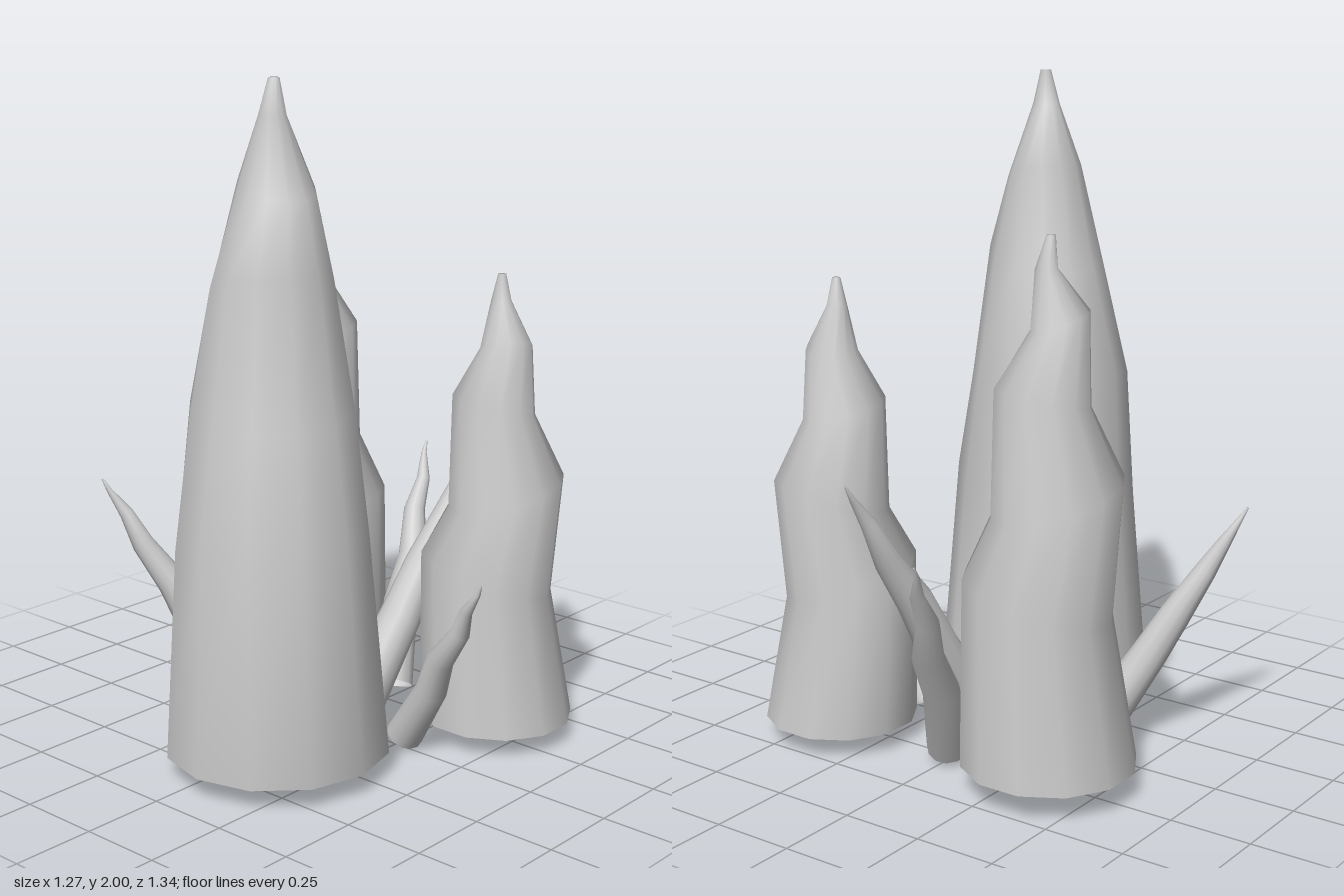
import * as THREE from 'three';

const material = new THREE.MeshStandardMaterial({ color: 0xcccccc, side: THREE.DoubleSide });
const SIDES = 12;

// Skin a stack of tilted rings: [centre x, y, z, radius, slope along x, slope along z]
function loft(rings, turn = 0) {
  const positions = [];
  const index = [];
  rings.forEach(([cx, cy, cz, r, sx = 0, sz = 0], i) => {
    for (let j = 0; j < SIDES; j++) {
      const a = turn + (j / SIDES) * Math.PI * 2;
      const dx = r * Math.cos(a);
      const dz = r * Math.sin(a);
      positions.push(cx + dx, cy + sx * dx + sz * dz, cz + dz);
      if (i === rings.length - 1) continue;
      const k = (j + 1) % SIDES;
      const p = i * SIDES + j, q = i * SIDES + k;
      index.push(p, p + SIDES, q, q, p + SIDES, q + SIDES);
    }
  });
  // Close the tip
  const top = (rings.length - 1) * SIDES;
  const [tx, ty, tz] = rings[rings.length - 1];
  positions.push(tx, ty, tz);
  for (let j = 0; j < SIDES; j++) index.push(top + j, top + SIDES, top + ((j + 1) % SIDES));
  const geometry = new THREE.BufferGeometry();
  geometry.setAttribute('position', new THREE.Float32BufferAttribute(positions, 3));
  geometry.setIndex(index);
  geometry.computeVertexNormals();
  return geometry;
}

function addMesh(group, name, geometry) {
  const mesh = new THREE.Mesh(geometry, material);
  mesh.name = name;
  group.add(mesh);
  return mesh;
}

// Fractions of length and radius, with a sideways wobble, for the small spikes
const SPIKE = [
  [0, 1, 0, 0], [0.33, 0.84, 0.1, 0.14], [0.52, 0.72, -0.12, -0.08], [0.71, 0.52, 0.08, 0.1],
  [0.84, 0.33, -0.08, -0.06], [0.95, 0.13, 0.03, 0.03], [1, 0.05, 0, 0],
];

// A small spike leaning from its base to its tip
function addSpike(group, name, base, tip, radius, turn) {
  const from = new THREE.Vector3(...base);
  const axis = new THREE.Vector3(...tip).sub(from);
  const length = axis.length();
  const rings = SPIKE.map(([t, r, wx, wz]) => [
    radius * (wx * Math.cos(turn) - wz * Math.sin(turn)), t * length,
    radius * (wx * Math.sin(turn) + wz * Math.cos(turn)), r * radius,
  ]);
  const mesh = addMesh(group, name, loft(rings));
  mesh.position.copy(from);
  mesh.quaternion.setFromUnitVectors(new THREE.Vector3(0, 1, 0), axis.normalize());
}

export function createModel() {
  const group = new THREE.Group();
  group.name = 'stalagmiteCluster';

  // Three large stalagmites
  addMesh(group, 'tallStalagmite', loft([
    [0.083, 0.07, 0.34, 0.332],
    [0.112, 0.71, 0.388, 0.28, 0.26, 0.15],
    [0.05, 1.08, 0.318, 0.24, -0.1, -0.14],
    [0.1, 1.44, 0.368, 0.175, 0.23, 0.14],
    [0.075, 1.7, 0.32, 0.111, -0.23, -0.1],
    [0.092, 1.9, 0.352, 0.04],
    [0.085, 2, 0.338, 0.016],
  ]));
  addMesh(group, 'middleStalagmite', loft([
    [-0.35, 0.085, -0.265, 0.258],
    [-0.32, 0.58, -0.28, 0.217, 0.25, -0.15],
    [-0.365, 0.87, -0.25, 0.19, -0.2, 0.22],
    [-0.328, 1.155, -0.272, 0.137, 0.11, -0.2],
    [-0.368, 1.37, -0.248, 0.083, -0.24, 0.25],
    [-0.34, 1.515, -0.275, 0.032],
    [-0.348, 1.605, -0.265, 0.013],
  ], Math.PI / 12));
  addMesh(group, 'shortStalagmite', loft([
    [0.403, 0.065, -0.292, 0.232],
    [0.37, 0.515, -0.275, 0.197, -0.25, 0.2],
    [0.415, 0.765, -0.305, 0.172, 0.18, -0.22],
    [0.382, 1.03, -0.28, 0.123, -0.16, 0.2],
    [0.412, 1.205, -0.295, 0.077, 0.25, 0.2],
    [0.395, 1.34, -0.288, 0.03],
    [0.4, 1.42, -0.283, 0.012],
  ], Math.PI / 12));

  // Four small leaning spikes between them
  addSpike(group, 'rightSpike', [-0.285, 0.05, 0.1], [-0.635, 0.742, 0.36], 0.066, 0.5);
  addSpike(group, 'backRightSpike', [0.0, 0.05, -0.28], [-0.185, 0.742, -0.67], 0.066, 2);
  addSpike(group, 'backLeftSpike', [0.06, 0.045, -0.03], [0.16, 0.88, -0.54], 0.078, 3.5);
  addSpike(group, 'leftSpike', [0.277, 0.042, -0.01], [0.625, 0.612, 0.085], 0.056, 5);
  return group;
}
